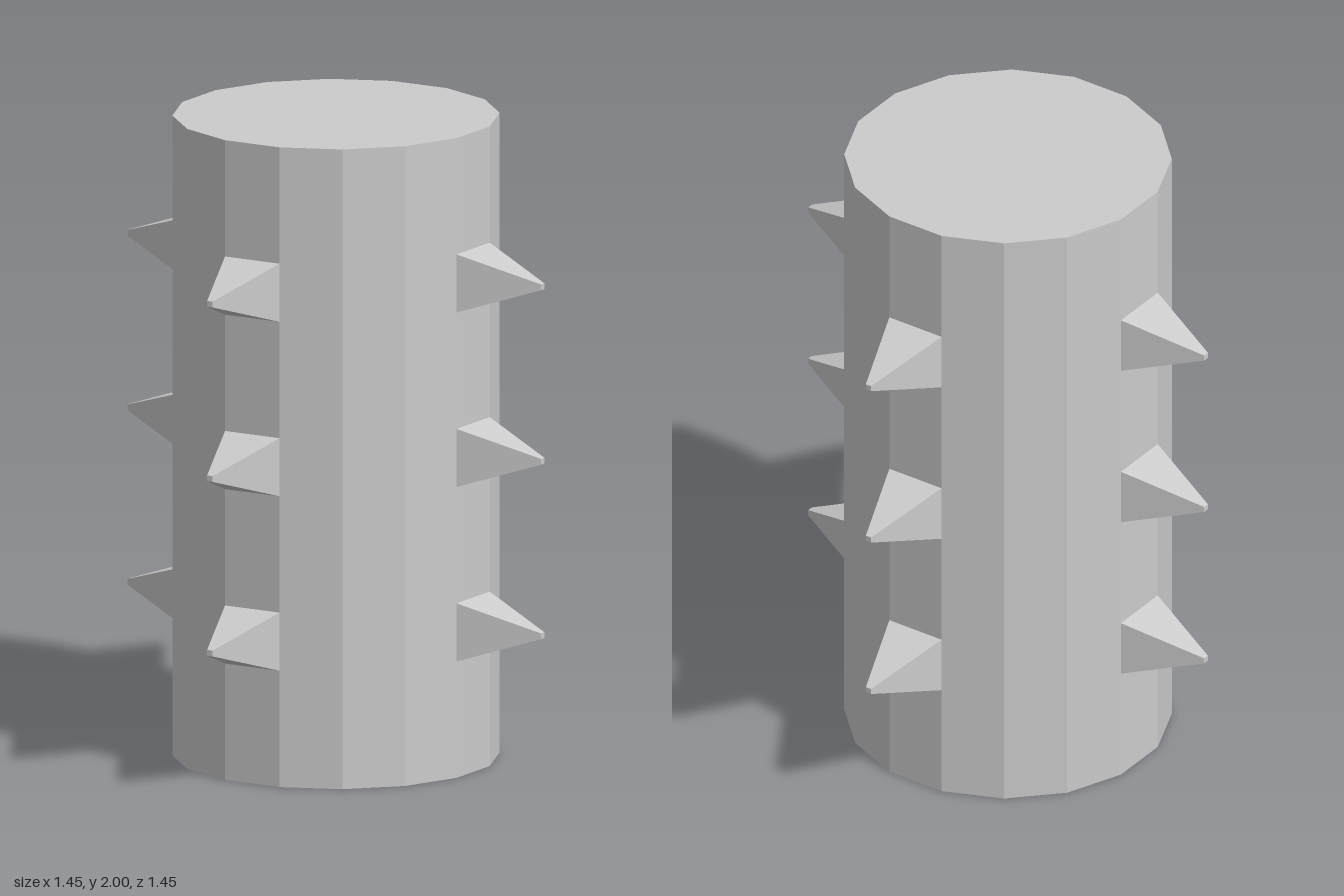
import * as THREE from 'three';

const SIDES = 16, RADIUS = 0.5, HEIGHT = 2, ROW = HEIGHT / 11;

export function createModel() {
  const model = new THREE.Group();
  model.name = 'spikedPillar';
  const material = new THREE.MeshStandardMaterial({ color: 0xcccccc, flatShading: true });

  // Faceted pillar
  const pillar = new THREE.Mesh(new THREE.CylinderGeometry(RADIUS, RADIUS, HEIGHT, SIDES), material);
  pillar.name = 'pillar';
  pillar.position.y = HEIGHT / 2;
  model.add(pillar);

  // Blunt four-sided spike, as wide as one facet, pointing along +z from its base
  const half = Math.PI / SIDES;
  const facetWidth = 2 * RADIUS * Math.sin(half);
  const facetDistance = RADIUS * Math.cos(half);
  const length = 0.249;
  const spikeGeometry = new THREE.CylinderGeometry(Math.SQRT1_2 * 0.1, Math.SQRT1_2, length, 4)
    .rotateY(Math.PI / 4)
    .rotateX(Math.PI / 2)
    .scale(facetWidth, ROW, 1)
    .translate(0, 0, facetDistance + length / 2);

  // Three rings of four spikes
  for (const row of [2.5, 5.5, 8.5]) {
    const ring = new THREE.Group();
    ring.name = 'spikeRing';
    ring.position.y = row * ROW;
    for (let i = 0; i < 4; i++) {
      const spike = new THREE.Mesh(spikeGeometry, material);
      spike.name = 'spike';
      spike.rotation.y = half + i * Math.PI / 2;
      ring.add(spike);
    }
    model.add(ring);
  }
  return model;
}
